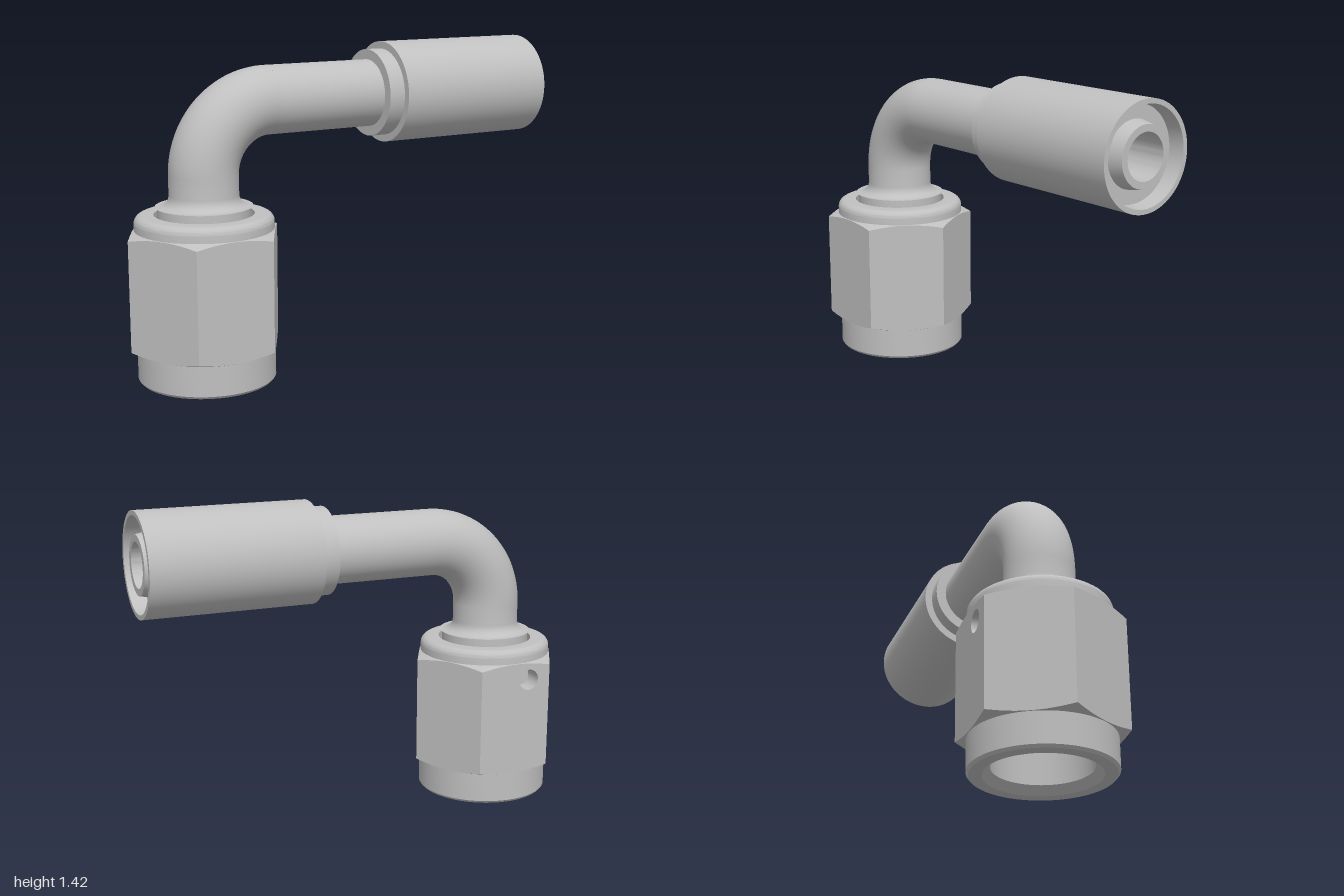
import * as THREE from 'three';
import { toCreasedNormals } from 'three/addons/utils/BufferGeometryUtils.js';

const NUT_X = -0.65;      // axis of the nut and stem
const TUBE_Y = 1.197;     // axis of the horizontal run
const BEND = 0.3;         // bend radius
const TUBE_R = 0.15, BORE_R = 0.098;
const APOTHEM = 0.303, HALF = APOTHEM * Math.tan(Math.PI / 6);
const HEX_LOW = 0.145, HEX_HIGH = 0.665, SLOPE = 0.4;

// Height of the conical hex chamfers at a given radius
const topY = (r) => HEX_HIGH - (r - APOTHEM) * SLOPE;
const lowY = (r) => HEX_LOW + (r - APOTHEM) * SLOPE;

const lathe = (points) => toCreasedNormals(
  new THREE.LatheGeometry(points.map(([r, y]) => new THREE.Vector2(r, y)), 72), 0.5);

// Points along a quarter-round, from angle a to angle b
function arc(cx, cy, radius, a, b, n = 8) {
  return Array.from({ length: n + 1 }, (_, i) => {
    const t = a + (b - a) * i / n;
    return [cx + radius * Math.cos(t), cy + radius * Math.sin(t)];
  });
}

// One flat of the hexagon, with curved top and bottom edges
function hexFlat(hole) {
  const n = 16, shape = new THREE.Shape();
  for (let i = 0; i <= n; i++) {
    const u = -HALF + 2 * HALF * i / n, y = lowY(Math.hypot(APOTHEM, u));
    if (i === 0) shape.moveTo(u, y); else shape.lineTo(u, y);
  }
  for (let i = n; i >= 0; i--) {
    const u = -HALF + 2 * HALF * i / n;
    shape.lineTo(u, topY(Math.hypot(APOTHEM, u)));
  }
  if (hole) {
    const path = new THREE.Path();
    path.absarc(hole.u, hole.y, hole.r, 0, Math.PI * 2, true);
    shape.holes.push(path);
  }
  return new THREE.ShapeGeometry(shape, 16).translate(0, 0, APOTHEM);
}

// Conical chamfer between one flat and the round collar
function hexChamfer(isTop) {
  const geo = new THREE.PlaneGeometry(1, 1, 16, 1);
  const pos = geo.attributes.position;
  for (let i = 0; i < pos.count; i++) {
    const u = pos.getX(i) * 2 * HALF;
    const angle = Math.atan2(u, APOTHEM);
    const inner = (pos.getY(i) > 0) === isTop;
    const r = inner ? 0.295 : Math.hypot(APOTHEM, u);
    pos.setXYZ(i, r * Math.sin(angle), isTop ? topY(r) : lowY(r), r * Math.cos(angle));
  }
  geo.computeVertexNormals();
  return geo;
}

export function createModel() {
  const model = new THREE.Group();
  model.name = 'elbowHoseFitting';
  const steel = new THREE.MeshStandardMaterial({ color: 0xc0c0c0, side: THREE.DoubleSide });
  steel.name = 'steel';

  const add = (parent, name, geo) => {
    const mesh = new THREE.Mesh(geo, steel);
    mesh.name = name;
    parent.add(mesh);
    return mesh;
  };

  // Swivel nut: round collars and bore
  const nut = new THREE.Group();
  nut.name = 'swivelNut';
  nut.position.x = NUT_X;
  model.add(nut);
  add(nut, 'nutCollarsAndBore', lathe([
    [0.3, 0.645], ...arc(0.265, 0.695, 0.035, 0, Math.PI / 2),
    [0.215, 0.73], [0.215, 0.68], [0.205, 0.68],
    [0.205, 0.035], [0.238, 0], [0.29, 0], [0.3, 0.012], [0.3, 0.165],
  ]));

  // Hexagon, with a small wire hole in the back flat
  const hole = { u: 0.067, y: 0.585, r: 0.048 };
  for (let i = 0; i < 6; i++) {
    const side = new THREE.Group();
    side.name = 'hexSide' + (i + 1);
    side.rotation.y = i * Math.PI / 3;
    nut.add(side);
    add(side, 'flat', hexFlat(i === 3 ? hole : null));
    add(side, 'topChamfer', hexChamfer(true));
    add(side, 'bottomChamfer', hexChamfer(false));
    if (i === 3) {
      const depth = 0.085;
      const wall = new THREE.CylinderGeometry(hole.r, hole.r, depth, 32, 1, true).rotateX(Math.PI / 2);
      add(side, 'wireHoleWall', wall).position.set(hole.u, hole.y, APOTHEM - depth / 2);
      add(side, 'wireHoleFloor', new THREE.CircleGeometry(hole.r, 32))
        .position.set(hole.u, hole.y, APOTHEM - depth);
    }
  }

  // Stem: conical seat inside the nut, shoulder and flared neck
  const bendY = TUBE_Y - BEND;
  add(model, 'stem', lathe([
    [BORE_R, bendY], [BORE_R, 0.52], [0.185, 0.42], [0.2, 0.42], [0.2, 0.76], [0.19, 0.76],
    ...arc(0.2, 0.812, 0.05, -Math.PI / 2 + 0.2, -Math.PI), [TUBE_R, bendY],
  ])).position.x = NUT_X;

  // Quarter bend, outside and bore
  for (const [name, r] of [['bend', TUBE_R], ['bendBore', BORE_R]]) {
    const geo = new THREE.TorusGeometry(BEND, r, 48, 40, Math.PI / 2).rotateZ(Math.PI / 2);
    add(model, name, geo).position.set(NUT_X + BEND, bendY, 0);
  }

  // Horizontal tube, crimp collar, sleeve and inner nipple
  const run = add(model, 'tubeAndSleeve', lathe([
    [TUBE_R, NUT_X + BEND], [TUBE_R, 0.165], [0.195, 0.165], [0.195, 0.24],
    [0.2275, 0.24], [0.2275, 1], [0.207, 1], [0.2, 0.93], [0.14, 0.93],
    [0.128, 0.995], [BORE_R, 0.995], [BORE_R, NUT_X + BEND],
  ]));
  run.rotation.z = -Math.PI / 2;
  run.position.y = TUBE_Y;

  return model;
}
